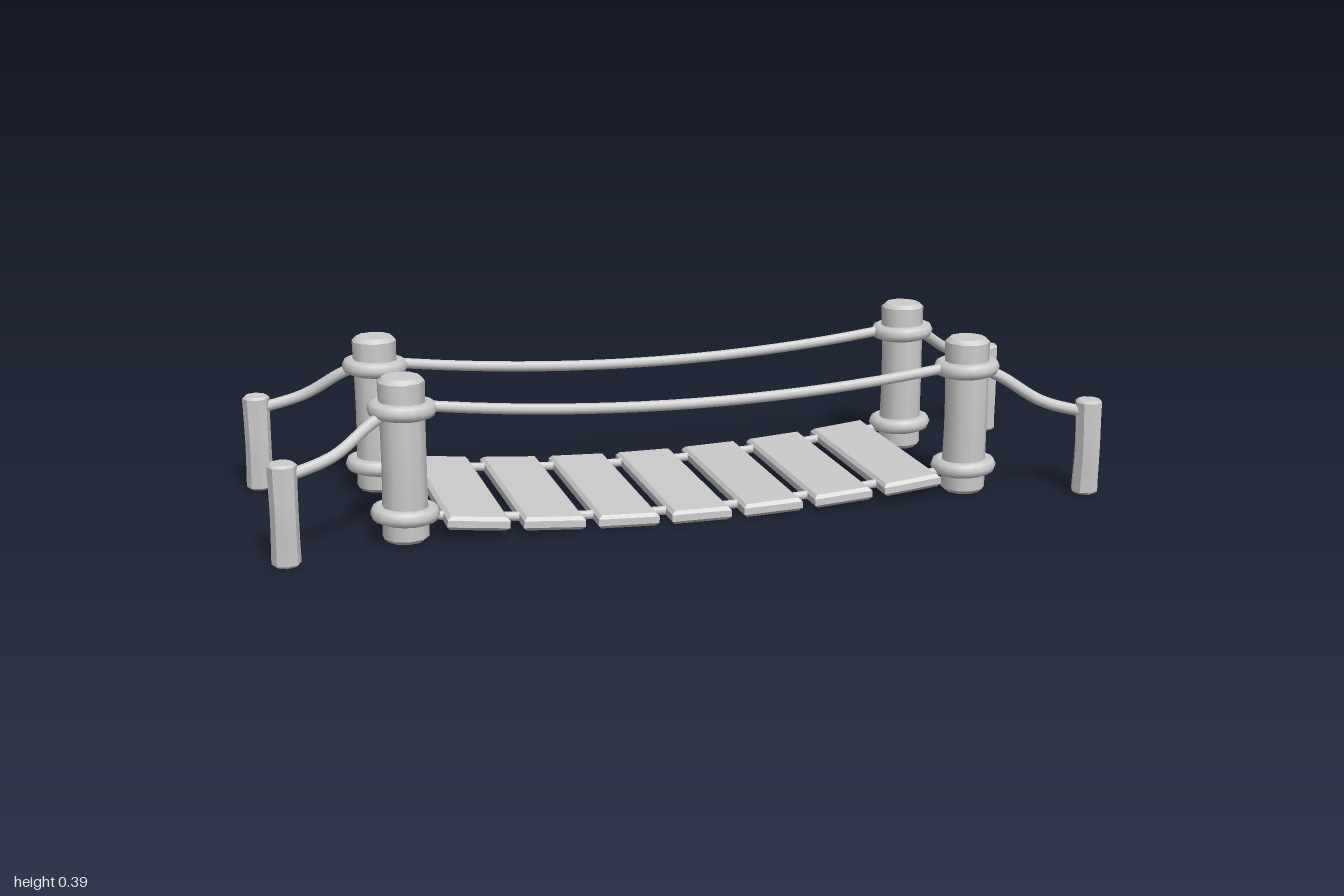
import * as THREE from 'three';
import { toCreasedNormals } from 'three/addons/utils/BufferGeometryUtils.js';

const material = new THREE.MeshStandardMaterial({ color: 0xcccccc });

function add(parent, name, geometry, x = 0, y = 0, z = 0) {
  const mesh = new THREE.Mesh(geometry, material);
  mesh.name = name;
  mesh.position.set(x, y, z);
  parent.add(mesh);
  return mesh;
}

// Wooden pole with chamfered ends, a slim waist and a slight bow along z
function poleGeometry(radius, height, chamfer, sides, bow) {
  const points = [new THREE.Vector2(0, 0), new THREE.Vector2(radius * 0.8, 0)];
  for (let i = 0; i <= 6; i++) {
    const t = i / 6;
    const r = radius * (1 - 0.05 * Math.sin(Math.PI * t));
    points.push(new THREE.Vector2(r, chamfer + t * (height - 2 * chamfer)));
  }
  points.push(new THREE.Vector2(radius * 0.8, height), new THREE.Vector2(0, height));
  const geometry = new THREE.LatheGeometry(points, sides);
  const p = geometry.attributes.position;
  for (let i = 0; i < p.count; i++) {
    const t = p.getY(i) / height;
    p.setZ(i, p.getZ(i) + bow * Math.sin(Math.PI * t) ** 2);
  }
  return toCreasedNormals(geometry, 0.72);
}

function ropeGeometry(points, radius) {
  const curve = new THREE.CatmullRomCurve3(points.map((p) => new THREE.Vector3(...p)));
  return new THREE.TubeGeometry(curve, 20, radius, 8);
}

// Rope hanging in a parabola between the two ends
function saggingRope(halfSpan, low, high, z, radius) {
  const points = [];
  for (let i = -4; i <= 4; i++) {
    const t = i / 4;
    points.push([t * halfSpan, low + (high - low) * t * t, z]);
  }
  return ropeGeometry(points, radius);
}

// Board with chamfered edges, lying flat
function plankGeometry(width, thickness, length, chamfer) {
  const w = width / 2 - chamfer, l = length / 2 - chamfer;
  const shape = new THREE.Shape([
    new THREE.Vector2(-w, -l), new THREE.Vector2(w, -l),
    new THREE.Vector2(w, l), new THREE.Vector2(-w, l),
  ]);
  const geometry = new THREE.ExtrudeGeometry(shape, {
    depth: thickness - 2 * chamfer, bevelEnabled: true,
    bevelSize: chamfer, bevelThickness: chamfer, bevelSegments: 1,
  });
  geometry.center();
  return geometry.rotateX(-Math.PI / 2);
}

export function createModel() {
  const bridge = new THREE.Group();
  bridge.name = 'ropeBridge';

  // Walkway of boards following the sag
  const board = plankGeometry(0.145, 0.032, 0.52, 0.008);
  for (let i = -3; i <= 3; i++) {
    const x = i * 0.176;
    const plank = add(bridge, 'plank', board, x, 0.02 + 0.1 * x * x, 0.004);
    plank.rotation.z = Math.atan(0.2 * x);
  }

  for (const side of [1, -1]) {
    const z = side > 0 ? 0.2 : -0.21;

    // Handrail and the rope carrying the boards
    add(bridge, 'handrailRope', saggingRope(0.66, 0.277, 0.322, z + side * 0.004, 0.013));
    add(bridge, 'deckRope', saggingRope(0.66, 0.02, 0.064, z, 0.011));

    for (const end of [1, -1]) {
      const corner = new THREE.Group();
      corner.name = side > 0 ? 'frontCorner' : 'backCorner';
      bridge.add(corner);

      // Main post with two rope wraps
      const x = end * 0.685;
      add(corner, 'post', poleGeometry(0.054, 0.383, 0.01, 10, 0.006), x, 0.007, z);
      for (const y of [0.072, 0.317]) {
        const ring = new THREE.TorusGeometry(0.06, 0.0195, 8, 18).rotateX(Math.PI / 2);
        const wrap = add(corner, 'ropeWrap', ring, x, y, z);
        wrap.rotation.z = end * 0.04;
      }

      // Outer stake and the rope tying it to the post
      const stakeZ = side * 0.298;
      add(corner, 'stake', poleGeometry(0.033, 0.235, 0.006, 8, 0.005), end * 0.965, 0.005, stakeZ);
      add(corner, 'anchorRope', ropeGeometry([
        [end * 0.7, 0.322, z + side * 0.012],
        [end * 0.76, 0.295, z + side * 0.037],
        [end * 0.85, 0.238, z + side * 0.073],
        [end * 0.965, 0.205, stakeZ],
      ], 0.014));
    }
  }
  return bridge;
}
